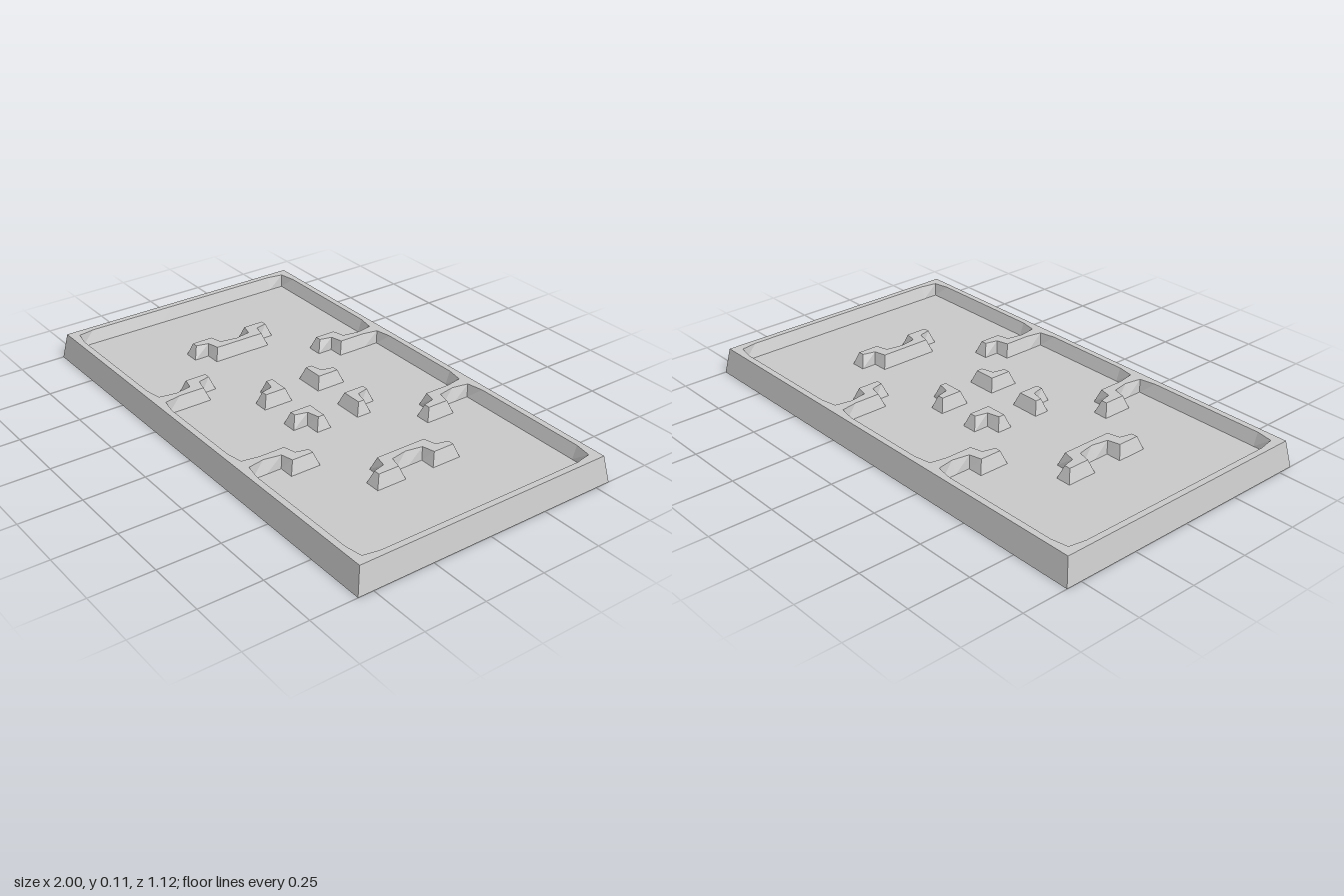
import * as THREE from 'three';

const CELL = 1 / 16, COLS = 32, ROWS = 18;   // layout grid
const HEIGHT = 0.107, FLOOR = 0.055;         // top of the walls, top of the floor slab
const TAPER = 0.0185;                        // inset of the wall tops

// Wall cells of one quarter, counted [x, z] outward from the centre
const PARTS = {
  centreBlocks: [[1, 1], [2, 1], [1, 2]],
  sideBrackets: [[8, 0], [8, 1], [9, 1], [9, 2]],
  borderSpurs: [[4, 7], [4, 6], [4, 5], [5, 5], [5, 4]],
};

// Which part fills a cell; null outside the board
function partAt(c, r) {
  if (c < 0 || r < 0 || c >= COLS || r >= ROWS) return null;
  const a = c < COLS / 2 ? COLS / 2 - 1 - c : c - COLS / 2;
  const b = r < ROWS / 2 ? ROWS / 2 - 1 - r : r - ROWS / 2;
  if (a === COLS / 2 - 1 || b === ROWS / 2 - 1) return 'borderWall';
  for (const name in PARTS) {
    if (PARTS[name].some(([x, z]) => x === a && z === b)) return name;
  }
  return 'floor';
}

const isWall = (c, r) => ![null, 'floor'].includes(partAt(c, r));

const gridPoint = (c, r, y) => [(c - COLS / 2) * CELL, y, (r - ROWS / 2) * CELL];

// Top point of a wall: pulled toward the middle of the wall cells that share it
function topPoint(c, r) {
  let n = 0, dx = 0, dz = 0;
  for (const i of [-1, 0]) for (const j of [-1, 0]) {
    if (!isWall(c + i, r + j)) continue;
    n++;
    dx += i < 0 ? -1 : 1;
    dz += j < 0 ? -1 : 1;
  }
  const [x, y, z] = gridPoint(c, r, HEIGHT);
  return [x + TAPER * dx / n, y, z + TAPER * dz / n];
}

export function createModel() {
  const group = new THREE.Group();
  group.name = 'walledBoard';
  const material = new THREE.MeshStandardMaterial({
    color: 0xcccccc, flatShading: true, side: THREE.DoubleSide,
  });
  const faces = { floor: [], borderWall: [], borderSpurs: [], sideBrackets: [], centreBlocks: [] };
  const quad = (list, a, b, c, d) => list.push(...a, ...b, ...c, ...a, ...c, ...d);

  for (let c = 0; c < COLS; c++) for (let r = 0; r < ROWS; r++) {
    const list = faces[partAt(c, r)];
    const corners = [[c, r], [c, r + 1], [c + 1, r + 1], [c + 1, r]];
    const low = corners.map(p => gridPoint(...p, 0));
    const mid = corners.map(p => gridPoint(...p, FLOOR));
    const wall = isWall(c, r);
    const top = wall ? corners.map(p => topPoint(...p)) : mid;
    quad(list, ...top);
    // Underside of the floor slab; the walls are hollow below
    if (!wall) quad(list, low[3], low[2], low[1], low[0]);

    [[-1, 0], [0, 1], [1, 0], [0, -1]].forEach(([i, j], k) => {
      const n = (k + 1) % 4;
      const next = partAt(c + i, r + j);
      if (!wall) {
        // Upright edge of the slab around each wall
        if (next !== 'floor') quad(list, low[k], low[n], mid[n], mid[k]);
      } else if (next === 'floor') {
        // Sloped inner side, rising from the floor
        quad(list, mid[k], mid[n], top[n], top[k]);
      } else if (next === null) {
        // Sloped outer side, rising from the ground
        quad(list, low[k], low[n], top[n], top[k]);
      }
    });
  }

  for (const name in faces) {
    const geometry = new THREE.BufferGeometry();
    geometry.setAttribute('position', new THREE.Float32BufferAttribute(faces[name], 3));
    geometry.computeVertexNormals();
    const mesh = new THREE.Mesh(geometry, material);
    mesh.name = name;
    group.add(mesh);
  }
  return group;
}
